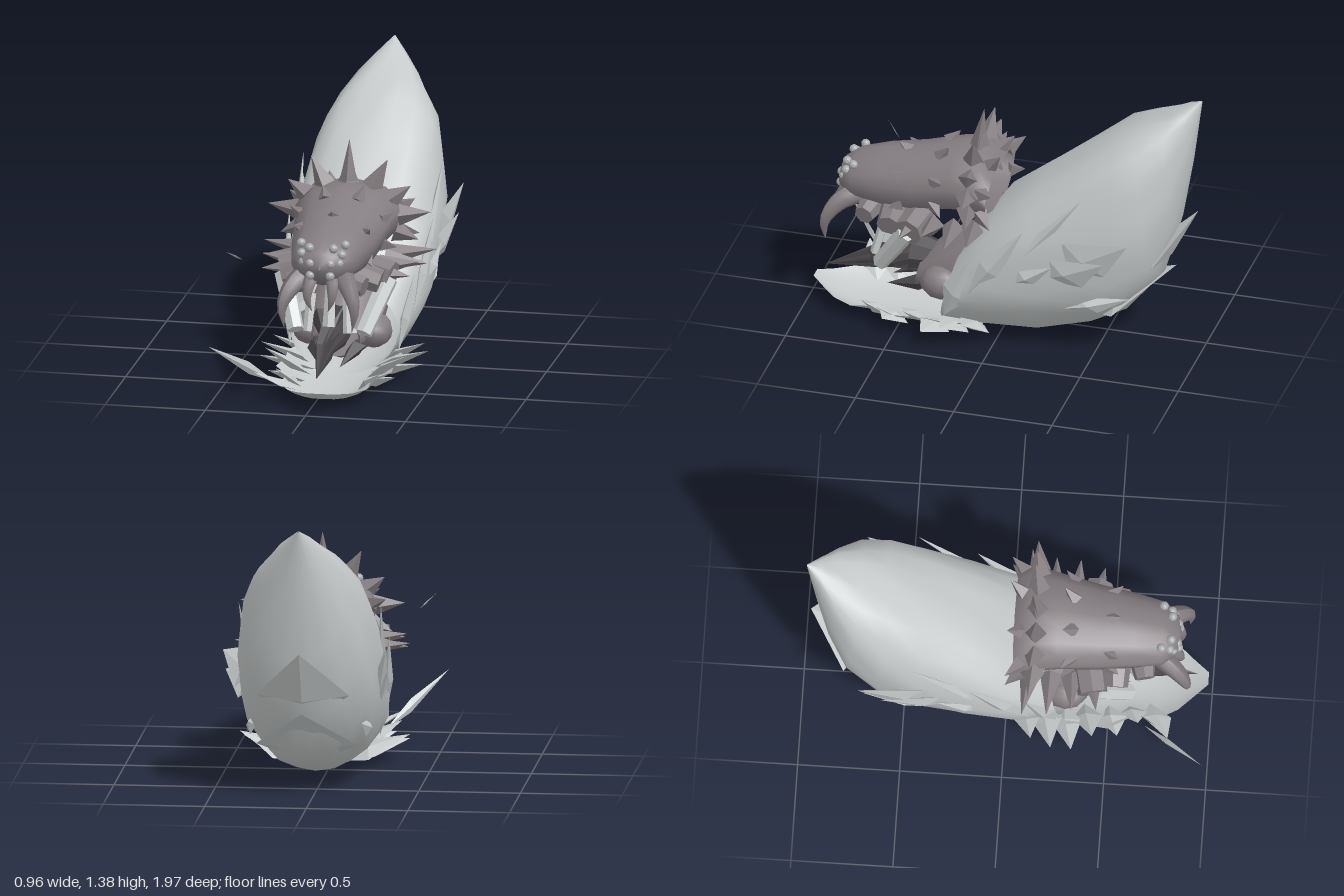
import * as THREE from 'three';

const mat = (name, color, side = THREE.FrontSide) => {
  const m = new THREE.MeshStandardMaterial({ color, side });
  m.name = name;
  return m;
};
const V = (x, y, z) => new THREE.Vector3(x, y, z);

// Skin through tilted oval rings: [lowZ, lowY, highZ, highY, halfWidth]
function loft(rings, n, bump = () => 1) {
  const pos = [], idx = [];
  rings.forEach(([zl, yl, zu, yu, w], i) => {
    for (let j = 0; j < n; j++) {
      const a = (j / n) * Math.PI * 2, k = bump(i, j, a);
      const c = -Math.cos(a) * k * 0.5;
      pos.push(w * k * Math.sin(a), (yl + yu) / 2 + c * (yu - yl), (zl + zu) / 2 + c * (zu - zl));
    }
  });
  for (let i = 0; i < rings.length - 1; i++) {
    for (let j = 0; j < n; j++) {
      const a = i * n + j, b = i * n + ((j + 1) % n);
      idx.push(a, a + n, b, b, a + n, b + n);
    }
  }
  const g = new THREE.BufferGeometry();
  g.setAttribute('position', new THREE.Float32BufferAttribute(pos, 3));
  g.setIndex(idx);
  g.computeVertexNormals();
  return g;
}

function flat(g) {
  const f = g.index ? g.toNonIndexed() : g;
  f.computeVertexNormals();
  return f;
}

// Faceted bar or cone running from p to q
function bar(p, q, r0, r1, sides) {
  const d = q.clone().sub(p);
  const g = new THREE.CylinderGeometry(r1, r0, d.length(), sides);
  g.applyQuaternion(new THREE.Quaternion().setFromUnitVectors(V(0, 1, 0), d.clone().normalize()));
  const c = p.clone().add(q).multiplyScalar(0.5);
  g.translate(c.x, c.y, c.z);
  return flat(g);
}

// Flattened pointed shard from p to q, broad along `across`, with a ridge
function shard(p, q, across, width, thick) {
  const d = q.clone().sub(p);
  const n = d.clone().cross(across).normalize().multiplyScalar(thick);
  const m = p.clone().addScaledVector(d, 0.4);
  const s = across.clone().normalize().multiplyScalar(width / 2);
  const pts = [p, m.clone().add(s), m.clone().add(n), m.clone().sub(s), m.clone().sub(n), q];
  const g = new THREE.BufferGeometry().setFromPoints(pts);
  const idx = [];
  for (let i = 0; i < 4; i++) {
    const a = 1 + i, b = 1 + ((i + 1) % 4);
    idx.push(0, b, a, 5, a, b);
  }
  g.setIndex(idx);
  return flat(g);
}

// Curved tapering claw
function claw(points, r) {
  const curve = new THREE.CatmullRomCurve3(points), seg = 8, sides = 7;
  const g = new THREE.TubeGeometry(curve, seg, r, sides);
  const pos = g.attributes.position, v = V(0, 0, 0);
  for (let i = 0; i <= seg; i++) {
    const c = curve.getPointAt(i / seg), k = 1 - Math.pow(i / seg, 1.6) * 0.98;
    for (let j = 0; j <= sides; j++) {
      const id = i * (sides + 1) + j;
      v.fromBufferAttribute(pos, id).sub(c).multiplyScalar(k).add(c);
      pos.setXYZ(id, v.x, v.y, v.z);
    }
  }
  g.computeVertexNormals();
  return g;
}

export function createModel() {
  const model = new THREE.Group();
  model.name = 'shelledCreature';
  const body = new THREE.Group();
  body.name = 'body';
  body.position.x = 0.04;
  model.add(body);

  const shellGrey = mat('shell grey', 0xc6caca, THREE.DoubleSide);
  const hide = mat('hide brown', 0x847d81, THREE.DoubleSide);
  const beakDark = mat('beak dark', 0x4c494c);
  const eyeGrey = mat('eye grey', 0xa8aaab);
  const bone = mat('bone grey', 0xcdd0d0);
  const add = (name, g, m, parent = body) => {
    const mesh = new THREE.Mesh(g, m);
    mesh.name = name;
    parent.add(mesh);
    return mesh;
  };

  // Big pod, open toward the front, square-shouldered above, pointed at the top rear
  const podBump = (i, j, a) => {
    if (i === 0 || i > 7) return 1;
    const shoulder = Math.cos(a) < 0 ? 0.1 * Math.sin(2 * a) ** 2 : 0;
    return 1 + shoulder + 0.015 * Math.sin(j * 2.3 + i * 1.7);
  };
  add('podShell', loft([
    [0.3, 0.03, 0.2, 0.45, 0.27], [0.08, 0.025, 0.02, 0.7, 0.34], [-0.2, 0.04, -0.2, 0.88, 0.355],
    [-0.45, 0.11, -0.4, 1.04, 0.355], [-0.63, 0.2, -0.59, 1.19, 0.335], [-0.8, 0.41, -0.72, 1.255, 0.285],
    [-0.88, 0.7, -0.84, 1.315, 0.19], [-0.94, 1.03, -0.92, 1.36, 0.09], [-0.99, 1.38, -0.99, 1.39, 0.003],
  ], 24, podBump), shellGrey);

  // Broad overlapping leaves down the back of the pod
  add('upperRearLeaf', shard(V(0, 0.38, -0.68), V(0, 0.77, -0.97), V(1, 0, 0), 0.46, 0.05), shellGrey);
  add('lowerRearLeaf', shard(V(0, 0.12, -0.42), V(0, 0.45, -0.86), V(1, 0, 0), 0.5, 0.04), shellGrey);

  // Shards on the pod flanks: start, end, width
  const flankShards = [
    [[0.31, 0.36, 0], [0.35, 0.93, -0.47], 0.09], [[0.32, 0.3, 0.12], [0.36, 0.72, -0.18], 0.12],
    [[0.33, 0.4, -0.1], [0.37, 0.55, -0.33], 0.1], [[0.27, 0.14, 0.25], [0.32, 0.5, 0.1], 0.14],
    [[0.32, 0.45, -0.25], [0.4, 0.62, -0.6], 0.22], [[0.33, 0.52, -0.33], [0.4, 0.74, -0.72], 0.26],
    [[0.29, 0.28, -0.35], [0.28, 0.38, -0.7], 0.12],
  ];
  for (const s of [1, -1]) {
    for (const [p, q, w] of flankShards) {
      add('podShard', shard(V(s * p[0], p[1], p[2]), V(s * q[0], q[1], q[2]), V(0, 0.6, 0.8), w, 0.025), shellGrey);
    }
  }

  // Shallow tongue-shaped apron with raised sides and an upturned front
  const rows = [[0.1, 0.24], [0.2, 0.28], [0.35, 0.29], [0.5, 0.27], [0.62, 0.23], [0.74, 0.21],
    [0.84, 0.16], [0.91, 0.1], [0.98, 0.03]];
  const apron = new THREE.PlaneGeometry(2, 1, 8, rows.length - 1);
  const ap = apron.attributes.position;
  for (let i = 0; i < ap.count; i++) {
    const row = Math.floor(i / 9), u = ap.getX(i), [z, w] = rows[row];
    const front = Math.max(0, z - 0.6) / 0.38;
    ap.setXYZ(i, u * w * (1 + 0.07 * Math.abs(u) * Math.sin(row * 2.6)),
      0.01 + 0.11 * front * front + 0.1 * Math.abs(u) ** 2.5 * (1 - front), z);
  }
  apron.computeVertexNormals();
  add('apron', apron, shellGrey);
  // Jagged flaps along the apron: root z, tip x, tip y
  for (const [z, x, y] of [[0.08, 0.38, 0.16], [0.18, 0.42, 0.15], [0.28, 0.41, 0.11], [0.38, 0.36, 0.18],
    [0.5, 0.32, 0.1], [0.6, 0.26, 0.14]]) {
    for (const s of [1, -1]) {
      add('apronFlap', shard(V(s * 0.14, 0.04, z), V(s * x, y, z + 0.05), V(0, 0.45, 1), 0.16, 0.025), shellGrey);
    }
  }
  add('sideFlap', shard(V(-0.12, 0.05, 0.7), V(-0.34, 0.16, 0.8), V(0, 0.1, 1), 0.14, 0.02), shellGrey);
  add('trailingStrip', shard(V(-0.25, 0.08, 0.68), V(-0.53, 0.33, 0.98), V(0, 1, 0.2), 0.07, 0.012), shellGrey);
  add('looseSliver', shard(V(-0.42, 0.69, 0.67), V(-0.49, 0.75, 0.75), V(0, 1, 0), 0.012, 0.003), hide);

  // Armoured head, hollow at the rear
  const head = new THREE.Group();
  head.name = 'head';
  body.add(head);
  add('headArmour', loft([
    [0.85, 0.71, 0.85, 0.73, 0.005], [0.83, 0.65, 0.83, 0.79, 0.1], [0.76, 0.61, 0.76, 0.84, 0.16],
    [0.62, 0.59, 0.62, 0.88, 0.185], [0.45, 0.59, 0.45, 0.91, 0.21], [0.25, 0.63, 0.25, 0.96, 0.24],
    [0.12, 0.65, 0.1, 0.97, 0.27], [0.05, 0.66, 0.03, 0.9, 0.27],
  ], 18, (i, j) => (i > 2 ? 1 + (j % 2 ? 0.03 : -0.02) : 1)), hide, head);

  // Radiating rows of horns: z, centre height, radii, count, length, backward lean, root radius
  const hornRows = [
    [0.14, 0.79, 0.25, 0.17, 9, 0.14, -0.02, 0.055], [0.07, 0.77, 0.26, 0.15, 6, 0.08, -0.07, 0.045],
    [0.32, 0.77, 0.21, 0.16, 6, 0.07, -0.05, 0.04], [0.5, 0.73, 0.18, 0.155, 5, 0.045, 0.05, 0.04],
  ];
  hornRows.forEach(([z, y, rx, ry, count, len, lean, root]) => {
    for (let i = 0; i < count; i++) {
      const a = (i / (count - 1) - 0.5) * 3.9, sx = Math.sin(a), cy = Math.cos(a);
      const l = len * (i % 2 ? 1.12 : 0.85);
      add('horn', bar(V(sx * rx, y + cy * ry, z), V(sx * (rx + l), y + cy * (ry + l), z + lean),
        root, 0.001, 4), hide, head);
    }
  });
  add('crest', bar(V(0, 0.94, 0.15), V(0, 1.17, 0.12), 0.05, 0.001, 4), hide, head);

  for (const s of [1, -1]) {
    // Eye cluster
    for (const [x, y, z] of [[0.05, 0.68, 0.835], [0.05, 0.74, 0.83], [0.09, 0.74, 0.81],
      [0.1, 0.78, 0.795], [0.06, 0.81, 0.8], [0.11, 0.82, 0.755]]) {
      const eye = add('eye', flat(new THREE.IcosahedronGeometry(0.023, 1)), eyeGrey, head);
      eye.position.set(s * x, y, z);
    }
    // Fangs and feelers around the mouth
    add('outerFang', claw([V(s * 0.09, 0.66, 0.74), V(s * 0.14, 0.62, 0.82), V(s * 0.18, 0.53, 0.88),
      V(s * 0.17, 0.42, 0.88)], 0.055), hide, head);
    add('innerFang', claw([V(s * 0.05, 0.66, 0.79), V(s * 0.06, 0.62, 0.83), V(s * 0.06, 0.56, 0.85),
      V(s * 0.04, 0.5, 0.84)], 0.035), hide, head);
    // Cut limb stumps beneath the head
    add('limbStump', bar(V(s * 0.14, 0.61, 0.4), V(s * 0.28, 0.58, 0.43), 0.08, 0.075, 7), hide);
    add('rearStump', bar(V(s * 0.12, 0.62, 0.54), V(s * 0.24, 0.58, 0.54), 0.07, 0.06, 7), hide);
    add('frontStump', bar(V(s * 0.1, 0.61, 0.66), V(s * 0.19, 0.59, 0.68), 0.065, 0.05, 7), hide);
    // Pale struts between head and lower body
    add('outerStrut', bar(V(s * 0.17, 0.33, 0.6), V(s * 0.26, 0.57, 0.44), 0.042, 0.05, 6), bone);
    add('innerStrut', bar(V(s * 0.1, 0.34, 0.65), V(s * 0.09, 0.52, 0.6), 0.022, 0.026, 5), bone);
    // Swollen shoulders and side spines
    const lobe = add('shoulder', new THREE.SphereGeometry(0.1, 10, 8), hide);
    lobe.scale.set(0.9, 0.85, 1.1);
    lobe.position.set(s * 0.16, 0.26, 0.29);
    for (let i = 0; i < 4; i++) {
      add('sideSpine', bar(V(s * 0.2, 0.6, 0.12 + i * 0.1), V(s * (0.43 - 0.02 * i), 0.63 - 0.04 * (i % 2), 0.09 + i * 0.12),
        0.055, 0.001, 4), hide);
    }
  }

  // Neck and lower body filling the pod mouth
  add('neck', loft([
    [0.45, 0.16, 0.42, 0.33, 0.12], [0.33, 0.12, 0.3, 0.45, 0.17], [0.16, 0.12, 0.14, 0.55, 0.19],
    [0, 0.15, 0, 0.6, 0.18],
  ], 14), hide);

  // Dark ribbed beak
  const rib = new THREE.ConeGeometry(0.1, 0.5, 14, 4);
  const rp = rib.attributes.position;
  for (let i = 0; i < rp.count; i++) {
    const k = Math.round(Math.atan2(rp.getZ(i), rp.getX(i)) / (Math.PI / 7)) % 2 ? 0.72 : 1.15;
    rp.setXYZ(i, rp.getX(i) * k, rp.getY(i), rp.getZ(i) * k);
  }
  const beak = add('beak', flat(rib), beakDark);
  beak.rotation.x = Math.PI / 2 + 0.33;
  beak.position.set(0, 0.26, 0.69);
  add('beakBase', bar(V(0, 0.31, 0.3), V(0, 0.33, 0.48), 0.06, 0.1, 8), beakDark);
  for (const s of [1, -1]) {
    add('jaw', shard(V(s * 0.13, 0.24, 0.32), V(s * 0.05, 0.15, 0.6), V(1, 0.3, 0), 0.1, 0.04), beakDark);
  }
  add('centreStrut', bar(V(0, 0.36, 0.62), V(0, 0.6, 0.56), 0.032, 0.024, 5), bone);
  return model;
}
